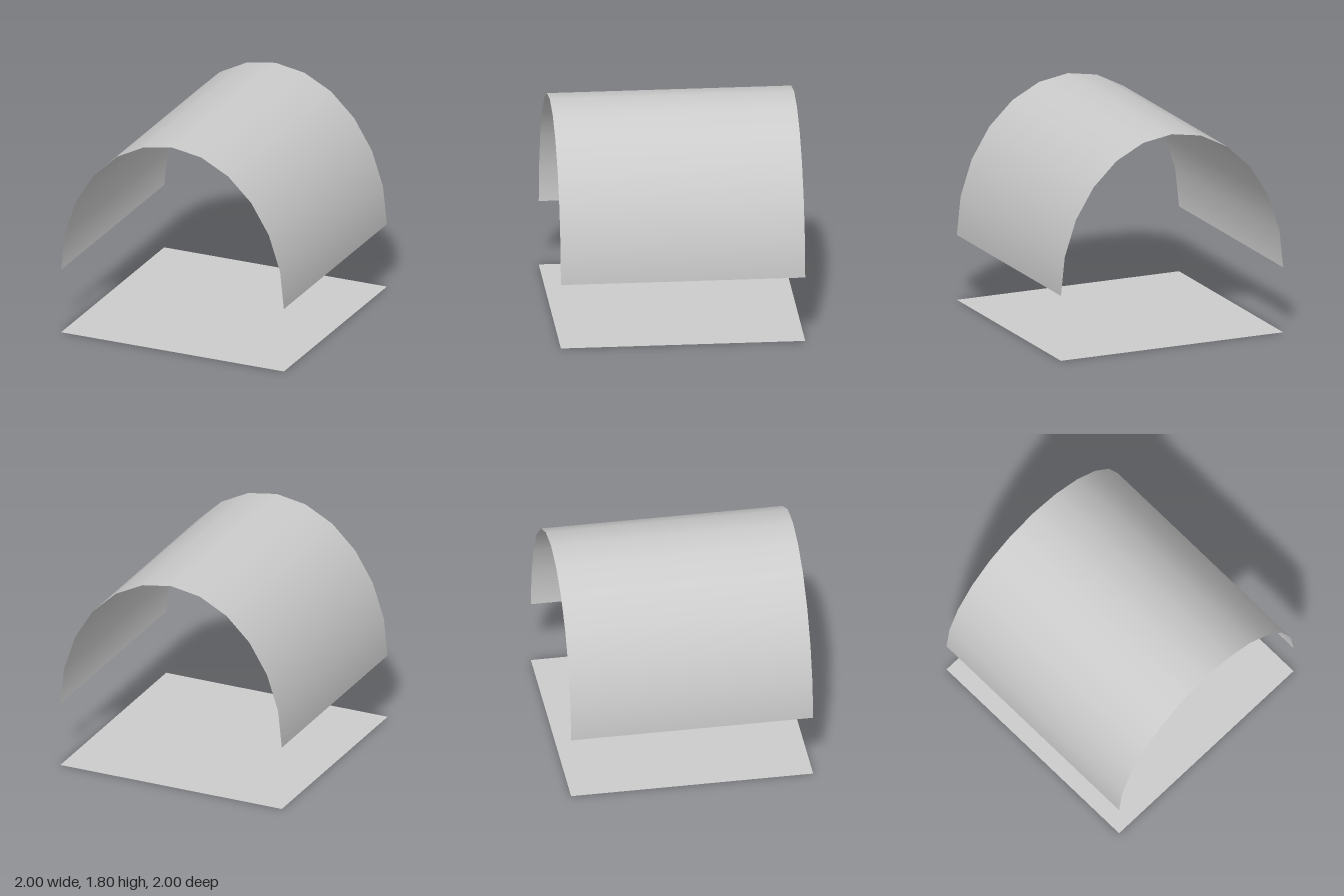
import * as THREE from 'three';

export function createModel() {
  const group = new THREE.Group();
  const material = new THREE.MeshStandardMaterial({ color: 0xcccccc, side: THREE.DoubleSide });

  // Arched canopy: thin half-elliptical vault, open at both ends
  const vault = new THREE.CylinderGeometry(1, 1, 2, 12, 1, true, -Math.PI / 2, Math.PI);
  vault.rotateX(-Math.PI / 2);
  vault.scale(1, 1.25, 1);
  const canopy = new THREE.Mesh(vault, material);
  canopy.name = 'archedCanopy';
  canopy.position.y = 0.55;
  group.add(canopy);

  // Flat square floor sheet
  const floor = new THREE.Mesh(new THREE.PlaneGeometry(2, 2).rotateX(-Math.PI / 2), material);
  floor.name = 'floor';
  group.add(floor);

  return group;
}
